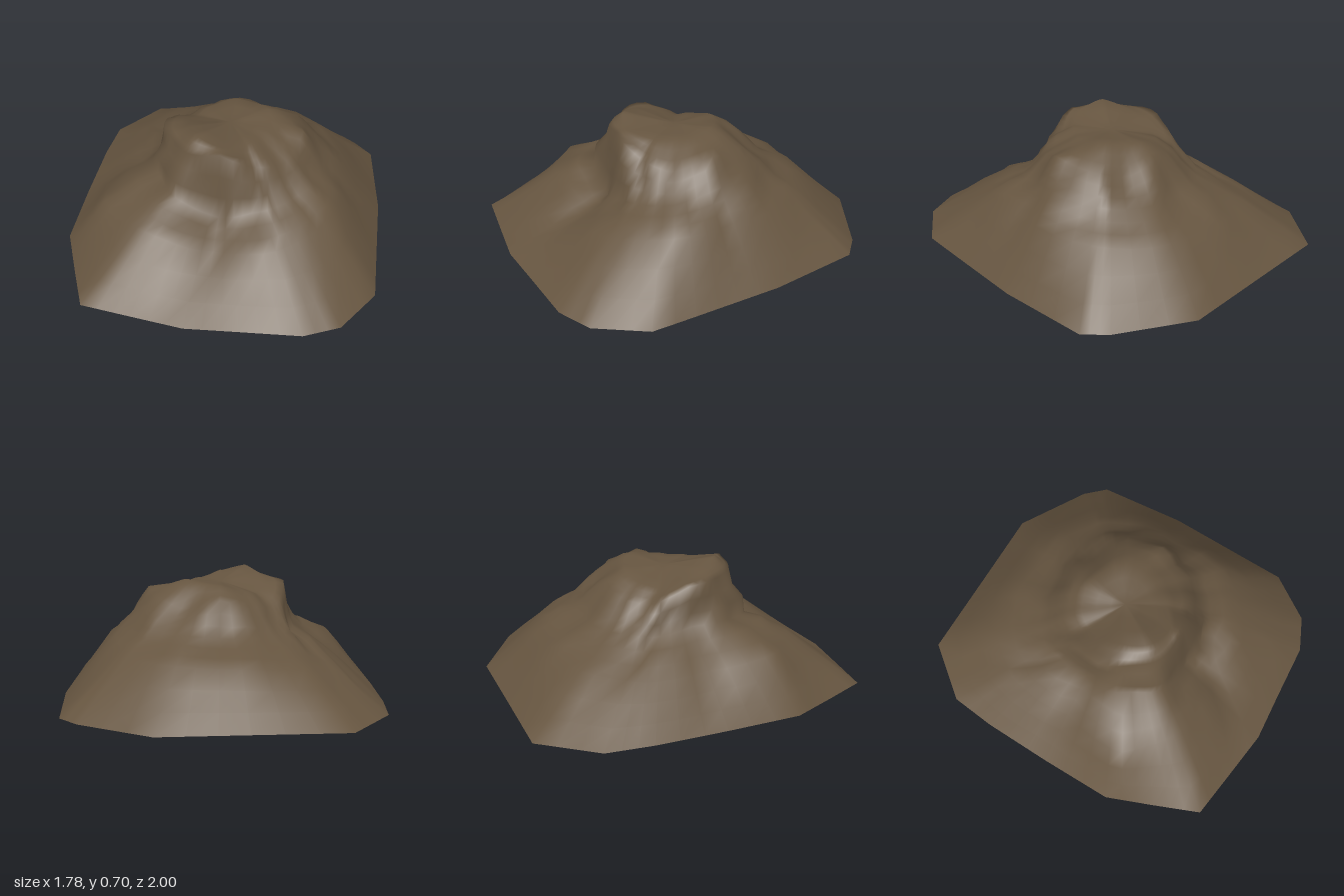
import * as THREE from 'three';

// Angular base outline (x, z), running from the left side round the front
const OUTLINE = [
  [0.89, 0.22], [0.89, 0.6], [0.72, 0.86], [0.53, 0.95], [0.2, 0.975], [-0.09, 1],
  [-0.38, 0.965], [-0.66, 0.93], [-0.77, 0.68], [-0.88, 0.42], [-0.89, 0], [-0.89, -0.4],
  [-0.87, -0.66], [-0.65, -0.96], [-0.15, -0.98], [0.32, -1], [0.72, -0.78], [0.83, -0.67], [0.89, -0.15],
];

// Radius and height of each contour, every 30 degrees from +x towards +z
const CONTOURS = [
  { // shoulder
    r: [0.64, 0.71, 0.71, 0.61, 0.71, 0.76, 0.62, 0.72, 0.77, 0.72, 0.74, 0.7],
    y: [0.31, 0.31, 0.26, 0.2, 0.29, 0.29, 0.24, 0.24, 0.27, 0.29, 0.3, 0.31], rough: 0.008,
  },
  { // foot of the crags
    r: [0.5, 0.53, 0.49, 0.42, 0.48, 0.45, 0.41, 0.46, 0.5, 0.5, 0.53, 0.54],
    y: [0.46, 0.4, 0.36, 0.28, 0.38, 0.41, 0.41, 0.38, 0.39, 0.4, 0.41, 0.44], rough: 0.016,
  },
  { // cliff edge
    r: [0.4, 0.38, 0.35, 0.36, 0.36, 0.36, 0.36, 0.36, 0.36, 0.35, 0.37, 0.42],
    y: [0.6, 0.52, 0.56, 0.66, 0.62, 0.63, 0.62, 0.53, 0.53, 0.58, 0.52, 0.58], rough: 0.012,
  },
  { // crown
    r: [0.23, 0.21, 0.23, 0.29, 0.29, 0.25, 0.22, 0.24, 0.24, 0.24, 0.23, 0.23],
    y: [0.64, 0.63, 0.63, 0.66, 0.7, 0.67, 0.62, 0.58, 0.6, 0.64, 0.65, 0.66], rough: 0.005,
  },
];
const AROUND = 3; // steps along each outline edge
const UP = 3;     // steps between contours

const lerp = THREE.MathUtils.lerp;

// Value of a closed list at an angle
function sample(list, angle) {
  const t = ((angle / (Math.PI * 2) + 1) % 1) * list.length;
  const i = Math.floor(t) % list.length;
  return lerp(list[i], list[(i + 1) % list.length], t - Math.floor(t));
}

// Repeatable lumps in the rock
function lump(x, y, z) {
  return Math.sin(17 * x + 9 * y + 1.3) * Math.cos(15 * z - 11 * y) + 0.5 * Math.sin(31 * x - 27 * z + 14 * y);
}

// Contour corner points for one direction, base first and summit last
function spine(x, z) {
  const angle = Math.atan2(z, x);
  const points = [{ x, y: Math.max(0, 0.014 - 0.01 * x - 0.012 * z), z, rough: 0 }];
  for (const c of CONTOURS) {
    const r = sample(c.r, angle);
    points.push({ x: r * Math.cos(angle), y: sample(c.y, angle), z: r * Math.sin(angle), rough: c.rough });
  }
  points.push({ x: 0, y: 0.635, z: 0, rough: 0 });
  return points;
}

function moundGeometry() {
  const positions = [], index = [];
  const columns = OUTLINE.length * AROUND;
  const rows = (CONTOURS.length + 1) * UP;
  for (let c = 0; c < columns; c++) {
    const i = Math.floor(c / AROUND), t = (c % AROUND) / AROUND;
    const p = OUTLINE[i], q = OUTLINE[(i + 1) % OUTLINE.length];
    const points = spine(lerp(p[0], q[0], t), lerp(p[1], q[1], t));
    for (let k = 0; k < rows; k++) {
      const a = points[Math.floor(k / UP)], b = points[Math.floor(k / UP) + 1], s = (k % UP) / UP;
      const x = lerp(a.x, b.x, s), y = lerp(a.y, b.y, s), z = lerp(a.z, b.z, s);
      const push = lerp(a.rough, b.rough, s) * lump(x, y, z);
      const r = Math.hypot(x, z) || 1;
      positions.push(x + (x / r) * push, y + push * 0.6, z + (z / r) * push);
    }
  }
  const summit = columns * rows;
  positions.push(0, 0.635, 0);
  for (let c = 0; c < columns; c++) {
    const a = c * rows, b = ((c + 1) % columns) * rows;
    for (let k = 0; k < rows - 1; k++) {
      index.push(a + k, a + k + 1, b + k, b + k, a + k + 1, b + k + 1);
    }
    index.push(a + rows - 1, summit, b + rows - 1);
  }
  const geometry = new THREE.BufferGeometry();
  geometry.setAttribute('position', new THREE.Float32BufferAttribute(positions, 3));
  geometry.setIndex(index);
  geometry.computeVertexNormals();
  return geometry;
}

export function createModel() {
  const group = new THREE.Group();
  group.name = 'rockyMound';
  // Open underneath, so both sides show
  const rock = new THREE.MeshStandardMaterial({ color: 0x665540, side: THREE.DoubleSide });
  rock.name = 'brownRock';
  const mound = new THREE.Mesh(moundGeometry(), rock);
  mound.name = 'moundShell';
  group.add(mound);
  return group;
}
